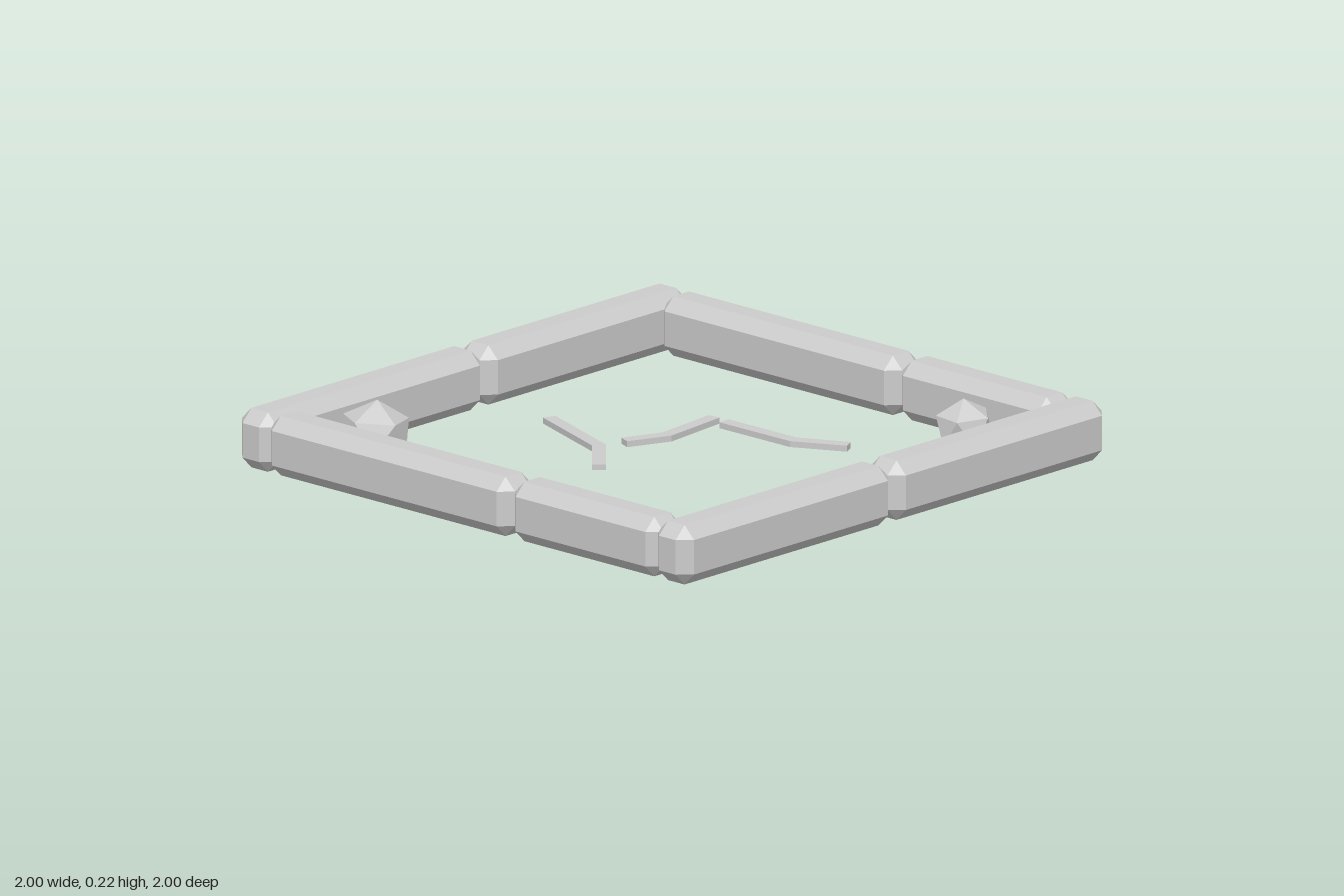
import * as THREE from 'three';
import { ConvexGeometry } from 'three/addons/geometries/ConvexGeometry.js';

const stone = new THREE.MeshStandardMaterial({ color: 0xcccccc });
stone.name = 'stoneGrey';

// Box with every edge and corner cut flat, given by its x, y and z ranges
function chamferedBox([x0, x1], [y0, y1], [z0, z1], c = 0.042) {
  const centre = new THREE.Vector3(x0 + x1, y0 + y1, z0 + z1).multiplyScalar(0.5);
  const half = [(x1 - x0) / 2, (y1 - y0) / 2, (z1 - z0) / 2];
  const points = [];
  for (const sx of [-1, 1]) for (const sy of [-1, 1]) for (const sz of [-1, 1]) {
    for (let axis = 0; axis < 3; axis++) {
      const h = half.map((v, i) => (i === axis ? v : v - c));
      points.push(new THREE.Vector3(sx * h[0], sy * h[1], sz * h[2]).add(centre));
    }
  }
  return new ConvexGeometry(points);
}

// Flat strip of constant width along a bent path of [x, z] points
function strip(path, width, y, thickness) {
  const pts = path.map(([x, z]) => new THREE.Vector2(x, -z));
  const left = [], right = [];
  pts.forEach((p, i) => {
    const a = p.clone().sub(pts[Math.max(i - 1, 0)]).normalize();
    const b = pts[Math.min(i + 1, pts.length - 1)].clone().sub(p).normalize();
    const na = new THREE.Vector2(-a.y, a.x), nb = new THREE.Vector2(-b.y, b.x);
    const n = na.clone().add(nb).normalize();
    const reach = width / 2 / n.dot(i === 0 ? nb : na);
    left.push(p.clone().addScaledVector(n, reach));
    right.unshift(p.clone().addScaledVector(n, -reach));
  });
  const geometry = new THREE.ExtrudeGeometry(new THREE.Shape([...left, ...right]), {
    depth: thickness, bevelEnabled: false,
  });
  return geometry.rotateX(-Math.PI / 2).translate(0, y, 0);
}

// Icosahedral boulder with one corner up, slightly squashed
function boulder(radius, squash, turn, tilt, x, y, z) {
  return new THREE.IcosahedronGeometry(radius, 0)
    .rotateZ(Math.atan(2 / (1 + Math.sqrt(5))))
    .rotateY(turn)
    .rotateZ(tilt)
    .scale(1, squash, 1)
    .translate(x, y, z);
}

export function createModel() {
  const model = new THREE.Group();
  model.name = 'stoneFrame';
  const add = (name, geometry) => {
    const mesh = new THREE.Mesh(geometry, stone);
    mesh.name = name;
    model.add(mesh);
  };

  // Border stones: two along each side, meeting at a chamfered joint
  const height = [0, 0.2], near = [0.843, 1], far = [-1, -0.843];
  add('frontStoneRight', chamferedBox([-1, -0.005], height, near));
  add('frontStoneLeft', chamferedBox([-0.005, 1], height, near));
  add('backStoneRight', chamferedBox([-1, 0.035], height, far));
  add('backStoneLeft', chamferedBox([0.035, 1], height, far));
  add('rightStoneBack', chamferedBox(far, height, [-0.87, 0.208]));
  add('rightStoneFront', chamferedBox(far, height, [0.208, 0.866]));
  add('leftStoneBack', chamferedBox(near, height, [-0.87, 0.185]));
  add('leftStoneFront', chamferedBox(near, height, [0.185, 0.866]));

  // Boulders in two opposite corners
  add('largeBoulder', boulder(0.125, 0.88, 0.1, -0.1, -0.68, 0.113, -0.675));
  add('smallBoulder', boulder(0.102, 0.95, 0.5, 0.05, 0.668, 0.115, 0.665));

  // Bent crack strips in the middle
  const cracks = [
    [[-0.13, -0.42], [-0.25, -0.088], [-0.408, 0.062]],
    [[-0.15, -0.07], [-0.01, -0.012], [0.237, -0.037]],
    [[0.223, 0.02], [0.225, 0.325], [0.31, 0.49]],
  ];
  for (const path of cracks) add('crack', strip(path, 0.045, 0.08, 0.02));

  return model;
}
